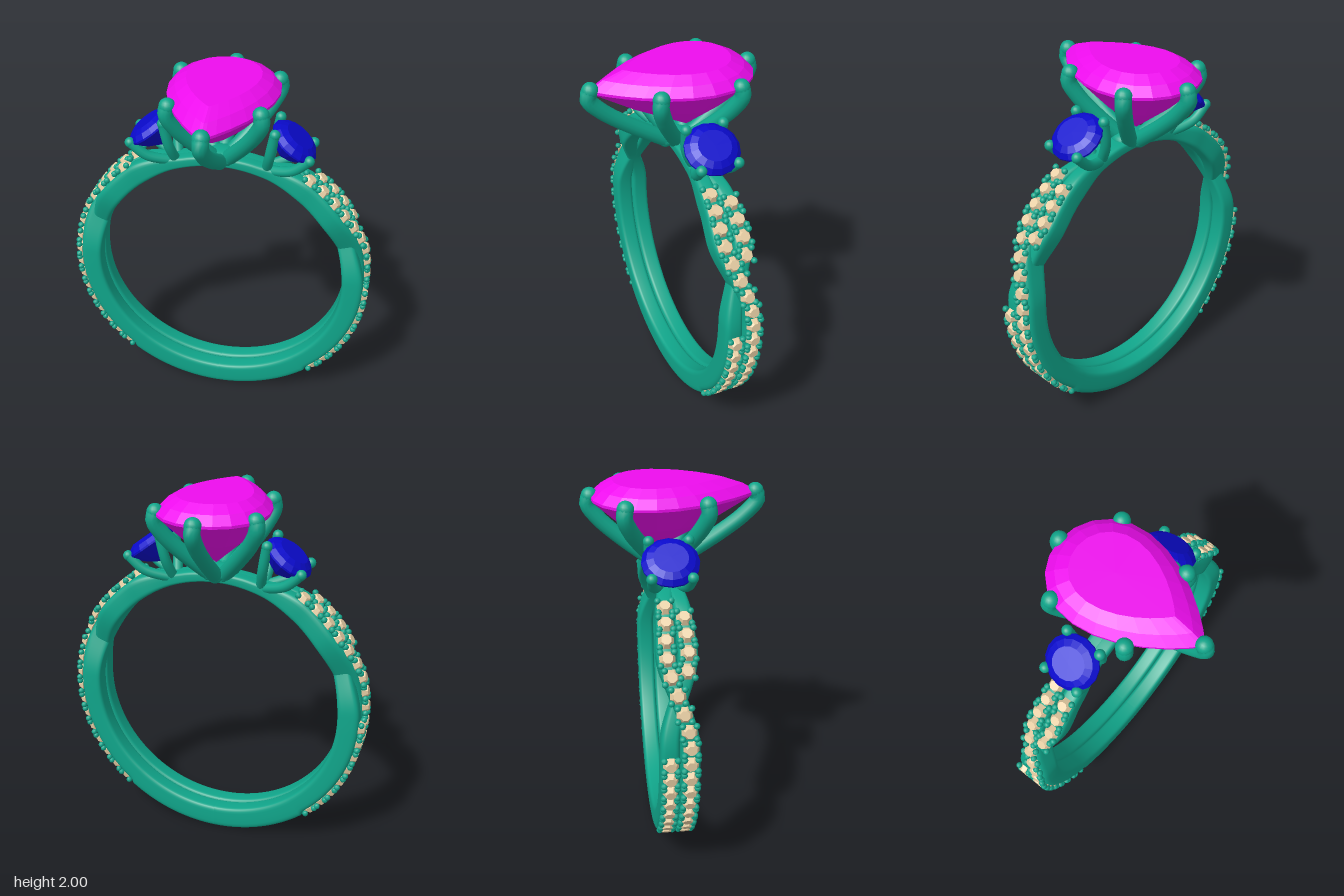
import * as THREE from 'three';
import { mergeGeometries } from 'three/addons/utils/BufferGeometryUtils.js';

const CY = 0.83, CZ = -0.05, RAD = Math.PI / 180;
const mat = (color, flatShading = false) => new THREE.MeshStandardMaterial({ color, flatShading });
const METAL = mat(0x10a58a);
const PINK = mat(0xee0cee, true), BLUE = mat(0x0a0acc, true), CREAM = mat(0xe8cfa5, true);
const V = (x, y, z) => new THREE.Vector3(x, y, z);

function mesh(name, geometry, material) {
  const m = new THREE.Mesh(geometry, material);
  m.name = name;
  return m;
}

// Smooth interpolation through [angle, value] keys
function keyed(keys, a) {
  for (let i = 1; i < keys.length; i++) {
    if (a <= keys[i][0]) {
      const [a0, v0] = keys[i - 1], [a1, v1] = keys[i];
      return v0 + (v1 - v0) * THREE.MathUtils.smoothstep(a, a0, a1);
    }
  }
  return keys[keys.length - 1][1];
}

// Angles run from the bottom of the ring (0) to the top (180)
const OFFSET = [[0, 0.05], [94, 0.05], [128, -0.053], [142, -0.045], [160, -0.024], [180, -0.022]];
const WIDTH = [[0, 0.05], [85, 0.05], [110, 0.043], [128, 0.05], [160, 0.042], [180, 0.042]];
const OVER = [[0, 0.825], [39, 0.825], [41, 0.808], [95, 0.808], [110, 0.82], [128, 0.81],
  [142, 0.808], [165, 0.75], [180, 0.745]];
const UNDER = [[0, 0.825], [39, 0.825], [41, 0.808], [92, 0.808], [109, 0.785], [124, 0.81],
  [142, 0.808], [165, 0.75], [180, 0.745]];
const strandZ = (side, a) => CZ + side * keyed(OFFSET, a);

// One band swept up half of the ring with a rounded-square section
function strand(side, outer) {
  const pos = [], idx = [], N = 120, M = 28, inner = 0.69;
  const sq = (v, e) => Math.sign(v) * Math.pow(Math.abs(v), e);
  for (let i = 0; i <= N; i++) {
    const a = (180 * i) / N, t = a * RAD;
    const ro = keyed(outer, a), w = keyed(WIDTH, a), z = strandZ(side, a);
    for (let j = 0; j < M; j++) {
      const p = (j / M) * 2 * Math.PI, c = Math.cos(p), s = Math.sin(p);
      const e = c < 0 ? 0.4 : 0.55;
      const r = (ro + inner) / 2 + ((ro - inner) / 2) * sq(c, e);
      pos.push(r * Math.sin(t), CY - r * Math.cos(t), z + w * sq(s, e));
      if (i < N) {
        const k = i * M + j, n = i * M + ((j + 1) % M);
        idx.push(k, k + M, n, n, k + M, n + M);
      }
    }
  }
  const g = new THREE.BufferGeometry();
  g.setAttribute('position', new THREE.Float32BufferAttribute(pos, 3));
  g.setIndex(idx);
  g.computeVertexNormals();
  return g;
}

// Small stones with four holding beads each, set along a band
function pave(side, angles, stones, beads) {
  for (const a of angles) {
    const t = a * RAD, lift = keyed(OVER, a) - 0.808;
    const m = new THREE.Matrix4().makeRotationZ(t + Math.PI);
    const r = 0.822 + lift;
    m.setPosition(r * Math.sin(t), CY - r * Math.cos(t), strandZ(side, a));
    stones.push(new THREE.CylinderGeometry(0.026, 0.042, 0.032, 8).rotateY(Math.PI / 8).applyMatrix4(m));
    for (const sx of [-1, 1]) for (const sz of [-1, 1])
      beads.push(new THREE.SphereGeometry(0.017, 8, 6).translate(sx * 0.033, 0, sz * 0.034).applyMatrix4(m));
  }
}

// Faceted stone: a plan outline scaled about a centre at several heights
function cutStone(outline, levels, cz = 0) {
  const n = outline.length, pos = [];
  const at = (l, j) => {
    const [x, z] = outline[j % n], [s, y] = levels[l];
    return [x * s, y, cz + (z - cz) * s];
  };
  for (let j = 0; j < n; j++) {
    pos.push(0, levels[0][1], cz, ...at(0, j), ...at(0, j + 1));
    for (let l = 0; l < levels.length - 1; l++) {
      pos.push(...at(l, j), ...at(l + 1, j), ...at(l, j + 1));
      pos.push(...at(l, j + 1), ...at(l + 1, j), ...at(l + 1, j + 1));
    }
  }
  const g = new THREE.BufferGeometry();
  g.setAttribute('position', new THREE.Float32BufferAttribute(pos, 3));
  g.computeVertexNormals();
  return g;
}

// Claw: curved tube with rounded ends
function claw(name, points, radius) {
  const g = new THREE.Group();
  g.name = name;
  g.add(mesh('clawArm', new THREE.TubeGeometry(new THREE.CatmullRomCurve3(points), 24, radius, 12), METAL));
  for (const p of [points[0], points[points.length - 1]]) {
    const ball = mesh('clawEnd', new THREE.SphereGeometry(radius * 1.03, 16, 12), METAL);
    ball.position.copy(p);
    g.add(ball);
  }
  return g;
}

function halfRing() {
  const g = new THREE.Group();
  g.name = 'halfBand';
  g.add(mesh('overStrand', strand(-1, OVER), METAL), mesh('underStrand', strand(1, UNDER), METAL));
  const stones = [], beads = [];
  const run = (from, count) => Array.from({ length: count }, (_, i) => from + i * 6.3);
  pave(-1, run(43.5, 17), stones, beads);
  pave(1, run(43.5, 8), stones, beads);
  pave(1, run(121, 4), stones, beads);
  g.add(mesh('paveStones', mergeGeometries(stones), CREAM), mesh('paveBeads', mergeGeometries(beads), METAL));
  return g;
}

function sideSetting(sx) {
  const g = new THREE.Group(), tilt = 37 * RAD, c = V(sx * 0.38, 1.685, -0.055);
  g.name = 'sideSetting';
  const outline = Array.from({ length: 16 }, (_, i) => {
    const t = (-i / 16) * 2 * Math.PI;
    return [0.14 * Math.cos(t), 0.145 * Math.sin(t)];
  });
  const stone = mesh('sideStone', cutStone(outline, [[0.6, 0.045], [0.84, 0.028], [1, 0.004], [1, -0.006], [0.55, -0.07], [0.001, -0.12]]), BLUE);
  stone.position.copy(c);
  stone.rotation.z = -sx * tilt;
  g.add(stone);
  for (const out of [-1, 1]) for (const sz of [-1, 1]) {
    const tip = V(c.x + sx * out * 0.09, c.y - out * 0.065 + 0.015, c.z + sz * 0.1);
    const base = V(sx * 0.24, 1.51, c.z + sz * 0.025);
    const mid = out > 0 ? V(sx * 0.385, 1.56, c.z + sz * 0.085) : V(sx * 0.265, 1.63, c.z + sz * 0.085);
    g.add(claw('sideClaw', [base, mid, tip], 0.027));
  }
  return g;
}

export function createModel() {
  const root = new THREE.Group();
  root.name = 'ring';

  // Band: two halves related by a half turn
  const right = halfRing(), left = halfRing();
  left.rotation.y = Math.PI;
  left.position.z = 2 * CZ;
  root.add(right, left);

  // Pear-shaped centre stone
  const pear = Array.from({ length: 24 }, (_, i) => {
    const t = (i / 24) * 2 * Math.PI;
    return [0.362 * Math.sin(t) * Math.pow(Math.sin(t / 2), 0.8), 0.43 * Math.cos(t)];
  }).reverse();
  const ordered = pear.reverse();
  root.add(mesh('centreStone', cutStone(ordered,
    [[0.66, 2], [0.86, 1.965], [1, 1.922], [1, 1.908], [0.55, 1.77], [0.001, 1.63]], -0.09), PINK));

  // Six claws rising from a hub
  const tips = [[0, -0.435], [0.265, -0.265], [-0.265, -0.265], [0.235, 0.15], [-0.235, 0.15], [0, 0.43]];
  for (const [x, z] of tips) {
    const at = (s, y) => V(x * s, y, CZ + (z - CZ) * s);
    root.add(claw('mainClaw', [at(0.16, 1.565), at(0.62, 1.705), at(0.88, 1.8), at(1.02, 1.88), at(0.99, 1.922)], 0.042));
  }
  const hub = mesh('hub', new THREE.SphereGeometry(1, 24, 16), METAL);
  hub.scale.set(0.11, 0.045, 0.09);
  hub.position.set(0, 1.567, CZ);
  root.add(hub);

  for (const sx of [-1, 1]) root.add(sideSetting(sx));
  return root;
}
